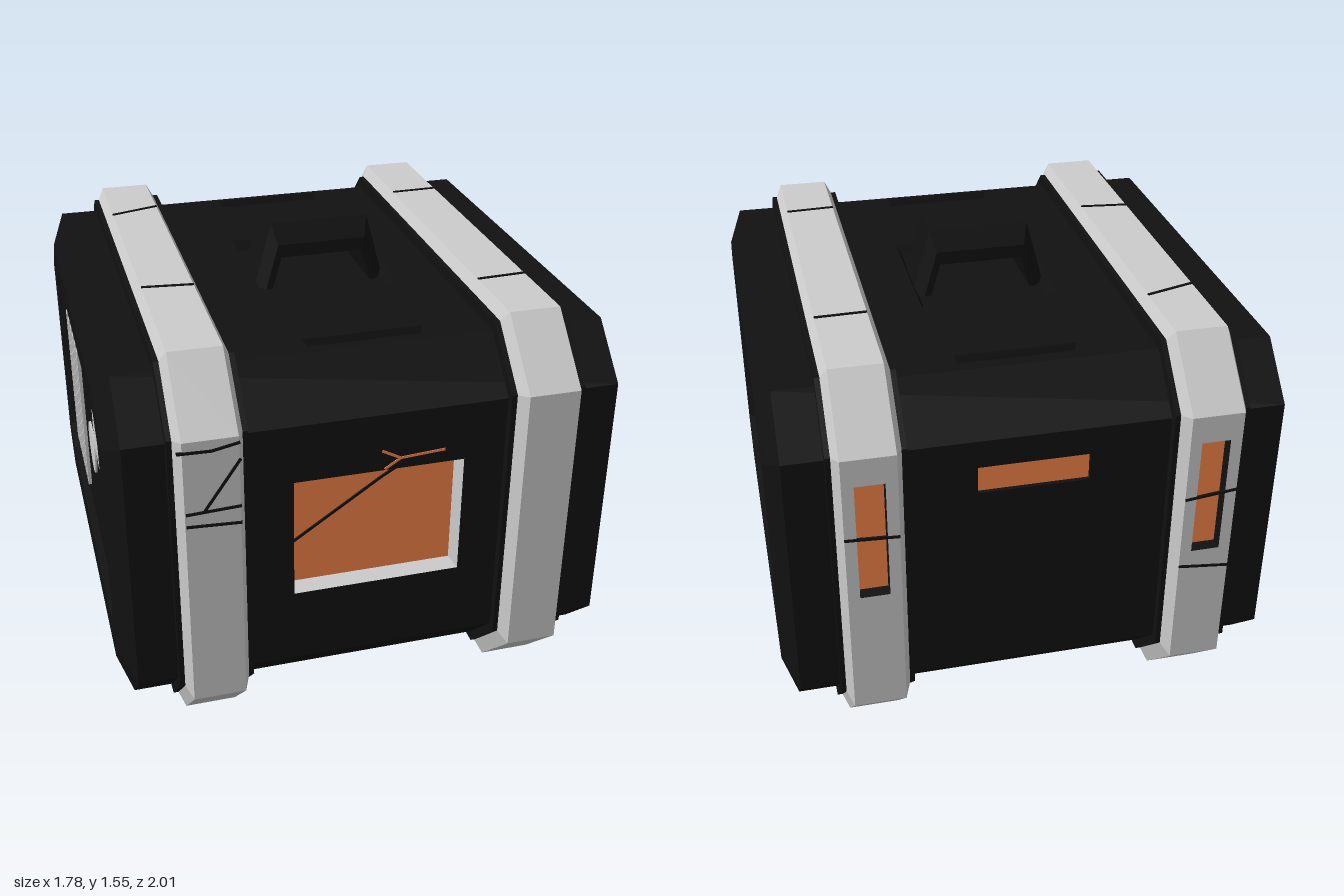
import * as THREE from 'three';

const mat = (color) => new THREE.MeshStandardMaterial({ color, flatShading: true });
const black = mat(0x111111), grey = mat(0xcccccc), orange = mat(0xf58549);

function add(parent, name, geometry, material, x = 0, y = 0, z = 0) {
  const m = new THREE.Mesh(geometry, material);
  m.name = name;
  m.position.set(x, y, z);
  parent.add(m);
  return m;
}

// Skin over a row of equal-length rings; skip(k, i) leaves a face open
function loft(rings, capped = false, skip = () => false) {
  const pos = [], n = rings[0].length;
  const tri = (...pts) => pts.forEach((p) => pos.push(...p));
  for (let k = 0; k < rings.length - 1; k++) {
    for (let i = 0; i < n; i++) {
      if (skip(k, i)) continue;
      const j = (i + 1) % n;
      const a = rings[k][i], b = rings[k][j], c = rings[k + 1][j], d = rings[k + 1][i];
      tri(a, b, c);
      tri(a, c, d);
    }
  }
  if (capped) {
    const s = rings[0], e = rings[rings.length - 1];
    for (let i = 1; i < n - 1; i++) {
      tri(s[0], s[i + 1], s[i]);
      tri(e[0], e[i], e[i + 1]);
    }
  }
  const g = new THREE.BufferGeometry();
  g.setAttribute('position', new THREE.Float32BufferAttribute(pos, 3));
  g.computeVertexNormals();
  return g;
}

// Chamfered rectangle at x: side 0 is the top, 2 the front, 4 the bottom, 6 the back
const oct = (x, hz, y0, y1, c) => [
  [x, y1, -hz + c], [x, y1, hz - c], [x, y1 - c, hz], [x, y0 + c, hz],
  [x, y0, hz - c], [x, y0, -hz + c], [x, y0 + c, -hz], [x, y1 - c, -hz],
];

const rect = (x, y, w, h, z) => [
  [x - w / 2, y - h / 2, z], [x + w / 2, y - h / 2, z],
  [x + w / 2, y + h / 2, z], [x - w / 2, y + h / 2, z],
];

// Flat face in local XY with sunken, tapering pockets
function pocketFace(parent, name, w, h, faceMat, pockets) {
  const g = new THREE.Group();
  g.name = name;
  const path = (pts, P) => new P(pts.map(([x, y]) => new THREE.Vector2(x, y)));
  const shape = path(rect(0, 0, w, h, 0), THREE.Shape);
  for (const p of pockets) {
    const t = p.taper || 0;
    const mouth = rect(p.x, p.y, p.w, p.h, 0);
    shape.holes.push(path(mouth, THREE.Path));
    add(g, 'pocketWalls', loft([mouth, rect(p.x, p.y, p.w - 2 * t, p.h - 2 * t, -p.d)]), p.wall);
    add(g, 'pocketFloor', new THREE.PlaneGeometry(p.w - 2 * t, p.h - 2 * t), p.floor, p.x, p.y, -p.d);
  }
  add(g, 'face', new THREE.ShapeGeometry(shape), faceMat);
  parent.add(g);
  return g;
}

// Thin broken line through a few points
function crack(parent, name, material, points, width = 0.009) {
  const v = points.map((p) => new THREE.Vector3(...p));
  for (let i = 0; i < v.length - 1; i++) {
    const d = v[i + 1].clone().sub(v[i]);
    const m = add(parent, name, new THREE.BoxGeometry(d.length(), width, width), material);
    m.position.copy(v[i]).addScaledVector(d, 0.5);
    m.quaternion.setFromUnitVectors(new THREE.Vector3(1, 0, 0), d.normalize());
  }
}

function buildBody(root) {
  const body = new THREE.Group();
  body.name = 'body';
  root.add(body);
  // Shell with bevelled ends and a sunken panel in each end
  const ringAt = (s) => [
    oct(s * 0.84, 0.92, 0.08, 1.35, 0.17),
    oct(s * 0.89, 0.81, 0.2, 1.24, 0.12),
    oct(s * 0.89, 0.69, 0.32, 1.15, 0.08),
    oct(s * 0.865, 0.66, 0.35, 1.12, 0.07),
  ];
  const rings = [...ringAt(-1).reverse(), ...ringAt(1)];
  add(body, 'shell', loft(rings, true, (k, i) => k === 3 && [0, 2, 6].includes(i)), black);

  // Front with the display window
  pocketFace(body, 'frontFace', 1.68, 0.93, black, [
    { x: 0.005, y: 0.033, w: 0.59, h: 0.445, d: 0.055, taper: 0.014, wall: grey, floor: orange },
  ]).position.set(0, 0.715, 0.92);
  // Back with the light strip
  const back = pocketFace(body, 'backFace', 1.68, 0.93, black, [
    { x: -0.02, y: 0.315, w: 0.38, h: 0.1, d: 0.015, wall: black, floor: orange },
  ]);
  back.position.set(0, 0.715, -0.92);
  back.rotation.y = Math.PI;
  // Top with the handle well and two slots
  const slot = { x: 0.02, w: 0.42, h: 0.08, d: 0.025, taper: 0.01, wall: black, floor: black };
  const top = pocketFace(body, 'topFace', 1.68, 1.5, black, [
    { ...slot, y: 0.69 }, { ...slot, y: -0.69 },
    { ...slot, y: 0, w: 0.5, h: 0.55, d: 0.04, taper: 0.02 },
  ]);
  top.position.y = 1.35;
  top.rotation.x = -Math.PI / 2;
}

function buildBand(root, s) {
  const band = new THREE.Group();
  band.name = s > 0 ? 'leftBand' : 'rightBand';
  band.position.x = s * 0.573;
  root.add(band);
  const inner = (x) => oct(x, 0.95, 0.05, 1.39, 0.185);
  const outer = (x) => oct(x, 1, 0, 1.43, 0.21);
  add(band, 'collar', loft([inner(-0.13), inner(0.13)], true), black);
  add(band, 'hoop', loft([inner(-0.112), outer(-0.09), outer(0.09), inner(0.112)], true,
    (k, i) => k === 1 && i === 6), grey);
  // Tail light sunk in the back
  const tail = pocketFace(band, 'tailLight', 0.18, 1.01, grey, [
    { x: 0, y: 0.185, w: 0.1, h: 0.44, d: 0.045, wall: black, floor: orange },
  ]);
  tail.position.set(0, 0.715, -1);
  tail.rotation.y = Math.PI;
}

function buildEndFittings(root, s) {
  const end = new THREE.Group();
  end.name = s > 0 ? 'leftEndFittings' : 'rightEndFittings';
  root.add(end);
  // Round ports
  for (const [z, y, r] of [[0.45, 0.96, 0.128], [0.185, 0.775, 0.096]]) {
    const port = add(end, 'port', new THREE.CylinderGeometry(r, r, 0.02, 40), grey, s * 0.862, y, z);
    port.rotation.z = Math.PI / 2;
  }
  // Vent slats
  for (let i = 0; i < 6; i++) {
    add(end, 'ventSlat', new THREE.BoxGeometry(0.03, 0.59, 0.04), grey, s * 0.863, 0.737, -0.115 - 0.073 * i);
  }
}

// Arched carrying handle with chamfered outer edges
function buildHandle(root) {
  const section = ([ox, oy, ix, iy]) => {
    const mx = ox + (ix - ox) * 0.6, my = oy + (iy - oy) * 0.6;
    return [[ox, oy, -0.085], [ox, oy, 0.085], [mx, my, 0.125],
      [ix, iy, 0.125], [ix, iy, -0.125], [mx, my, -0.125]];
  };
  const path = [[-0.245, 1.31, -0.185, 1.31], [-0.18, 1.55, -0.15, 1.43],
    [0.18, 1.55, 0.15, 1.43], [0.245, 1.31, 0.185, 1.31]];
  add(root, 'handle', loft(path.map(section), true), black, 0.02, 0, 0.01);
}

function buildCracks(root) {
  const g = new THREE.Group();
  g.name = 'cracks';
  root.add(g);
  const dark = (...pts) => crack(g, 'darkCrack', black, pts);
  // Bands, front
  dark([-0.68, 1.185, 1], [-0.57, 1.182, 1], [-0.48, 1.2, 1]);
  dark([-0.66, 0.96, 1], [-0.48, 0.968, 1]);
  dark([-0.66, 0.915, 1], [-0.48, 0.905, 1]);
  dark([-0.6, 0.965, 1], [-0.48, 1.14, 1]);
  // Bands, top
  dark([-0.663, 1.43, -0.46], [-0.483, 1.43, -0.515]);
  dark([-0.663, 1.43, 0.275], [-0.483, 1.43, 0.295]);
  dark([0.483, 1.43, -0.43], [0.663, 1.43, -0.435]);
  dark([0.483, 1.43, 0.505], [0.663, 1.43, 0.495]);
  // Bands, back
  dark([0.483, 0.91, -1], [0.663, 0.92, -1]);
  dark([-0.663, 0.92, -1], [-0.483, 0.9, -1]);
  dark([-0.663, 0.6, -1], [-0.483, 0.62, -1]);
  // Window and the glowing split above it
  dark([-0.28, 0.705, 0.866], [0.03, 0.915, 0.866], [0.09, 0.95, 0.866]);
  crack(g, 'glowCrack', orange, [[0.01, 1.045, 0.918], [0.075, 1.01, 0.918], [0.23, 1.02, 0.918]]);
  crack(g, 'glowCrack', orange, [[0.02, 0.975, 0.918], [0.075, 1.01, 0.918]]);
}

export function createModel() {
  const root = new THREE.Group();
  root.name = 'crate';
  buildBody(root);
  for (const s of [1, -1]) {
    buildBand(root, s);
    buildEndFittings(root, s);
  }
  buildHandle(root);
  buildCracks(root);
  return root;
}
